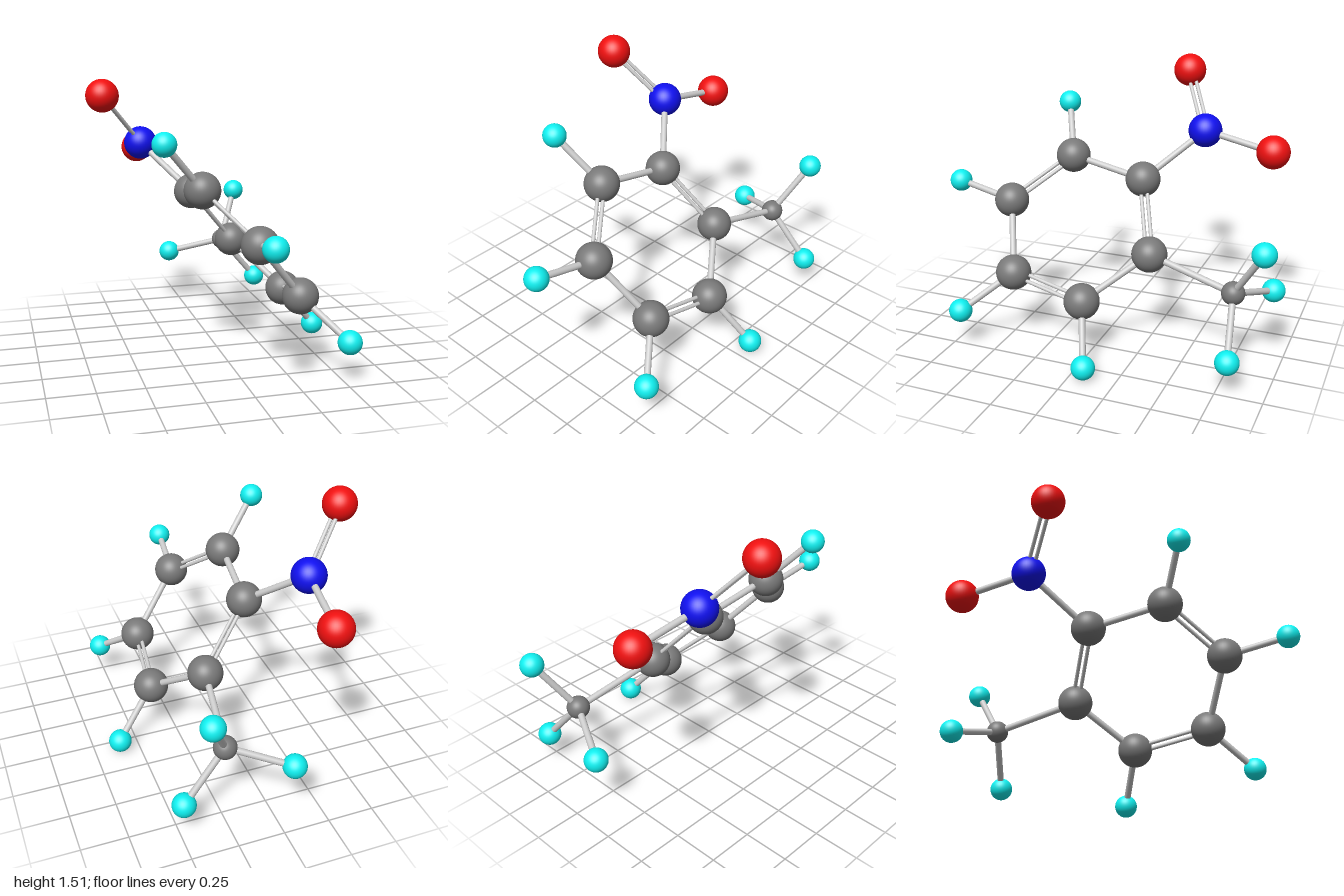
import * as THREE from 'three';

const KINDS = {
  carbon: { radius: 0.097, color: 0x7a7a7a },
  methylCarbon: { radius: 0.062, color: 0x7a7a7a },
  nitrogen: { radius: 0.094, color: 0x1010f0 },
  oxygen: { radius: 0.092, color: 0xf01010 },
  hydrogen: { radius: 0.0635, color: 0x10f0f0 },
};

// name: [kind, x, y, z]
const ATOMS = {
  ring1: ['carbon', -0.11, 0.885, -0.142],
  ring2: ['carbon', 0.164, 0.56, -0.28],
  ring3: ['carbon', 0.384, 0.329, 0.022],
  ring4: ['carbon', 0.336, 0.409, 0.45],
  ring5: ['carbon', 0.069, 0.729, 0.586],
  ring6: ['carbon', -0.153, 0.965, 0.296],
  nitrogen: ['nitrogen', -0.346, 1.133, -0.424],
  oxygenA: ['oxygen', -0.584, 1.419, -0.255],
  oxygenB: ['oxygen', -0.303, 1.059, -0.82],
  methyl: ['methylCarbon', 0.235, 0.447, -0.762],
  hydrogen3: ['hydrogen', 0.607, 0.066, -0.078],
  hydrogen4: ['hydrogen', 0.521, 0.217, 0.688],
  hydrogen5: ['hydrogen', 0.032, 0.794, 0.936],
  hydrogen6: ['hydrogen', -0.373, 1.222, 0.411],
  methylHydrogenA: ['hydrogen', 0.363, 0.735, -0.937],
  methylHydrogenB: ['hydrogen', -0.082, 0.35, -0.911],
  methylHydrogenC: ['hydrogen', 0.469, 0.174, -0.802],
};

const SINGLE = [
  ['ring2', 'ring3'], ['ring4', 'ring5'], ['ring6', 'ring1'],
  ['ring1', 'nitrogen'], ['nitrogen', 'oxygenB'], ['ring2', 'methyl'],
  ['ring3', 'hydrogen3'], ['ring4', 'hydrogen4'], ['ring5', 'hydrogen5'], ['ring6', 'hydrogen6'],
  ['methyl', 'methylHydrogenA'], ['methyl', 'methylHydrogenB'], ['methyl', 'methylHydrogenC'],
];
const DOUBLE = [['ring1', 'ring2'], ['ring3', 'ring4'], ['ring5', 'ring6'], ['nitrogen', 'oxygenA']];

const UP = new THREE.Vector3(0, 1, 0);
const position = (name) => new THREE.Vector3(...ATOMS[name].slice(1));

// Straight rod between two points
function rod(a, b, radius, material, name) {
  const dir = b.clone().sub(a);
  const mesh = new THREE.Mesh(new THREE.CylinderGeometry(radius, radius, dir.length(), 20), material);
  mesh.position.copy(a).add(b).multiplyScalar(0.5);
  mesh.quaternion.setFromUnitVectors(UP, dir.normalize());
  mesh.name = name;
  return mesh;
}

export function createModel() {
  const model = new THREE.Group();
  model.name = 'molecule';
  const atoms = new THREE.Group();
  atoms.name = 'atoms';
  const bonds = new THREE.Group();
  bonds.name = 'bonds';
  model.add(atoms, bonds);

  // Atoms: one shared sphere and material per kind
  const shared = {};
  for (const [kind, { radius, color }] of Object.entries(KINDS)) {
    shared[kind] = {
      geometry: new THREE.SphereGeometry(radius, 40, 28),
      material: new THREE.MeshStandardMaterial({ color }),
    };
  }
  for (const [name, [kind]] of Object.entries(ATOMS)) {
    const ball = new THREE.Mesh(shared[kind].geometry, shared[kind].material);
    ball.position.copy(position(name));
    ball.name = name + 'Atom';
    atoms.add(ball);
  }

  // Single bonds
  const bondMaterial = new THREE.MeshStandardMaterial({ color: 0xcccccc });
  for (const [from, to] of SINGLE) {
    bonds.add(rod(position(from), position(to), 0.018, bondMaterial, 'singleBond'));
  }

  // Double bonds: a pair of thin rods spread within the plane of the ring
  const r1 = position('ring1');
  const normal = position('ring3').sub(r1).cross(position('ring5').sub(r1)).normalize();
  for (const [from, to] of DOUBLE) {
    const a = position(from);
    const b = position(to);
    const side = b.clone().sub(a).cross(normal).normalize();
    const pair = new THREE.Group();
    pair.name = 'doubleBond';
    for (const s of [-0.017, 0.017]) {
      const p = a.clone().addScaledVector(side, s);
      const q = b.clone().addScaledVector(side, s);
      pair.add(rod(p, q, 0.0105, bondMaterial, 'doubleBondRod'));
    }
    bonds.add(pair);
  }
  return model;
}
